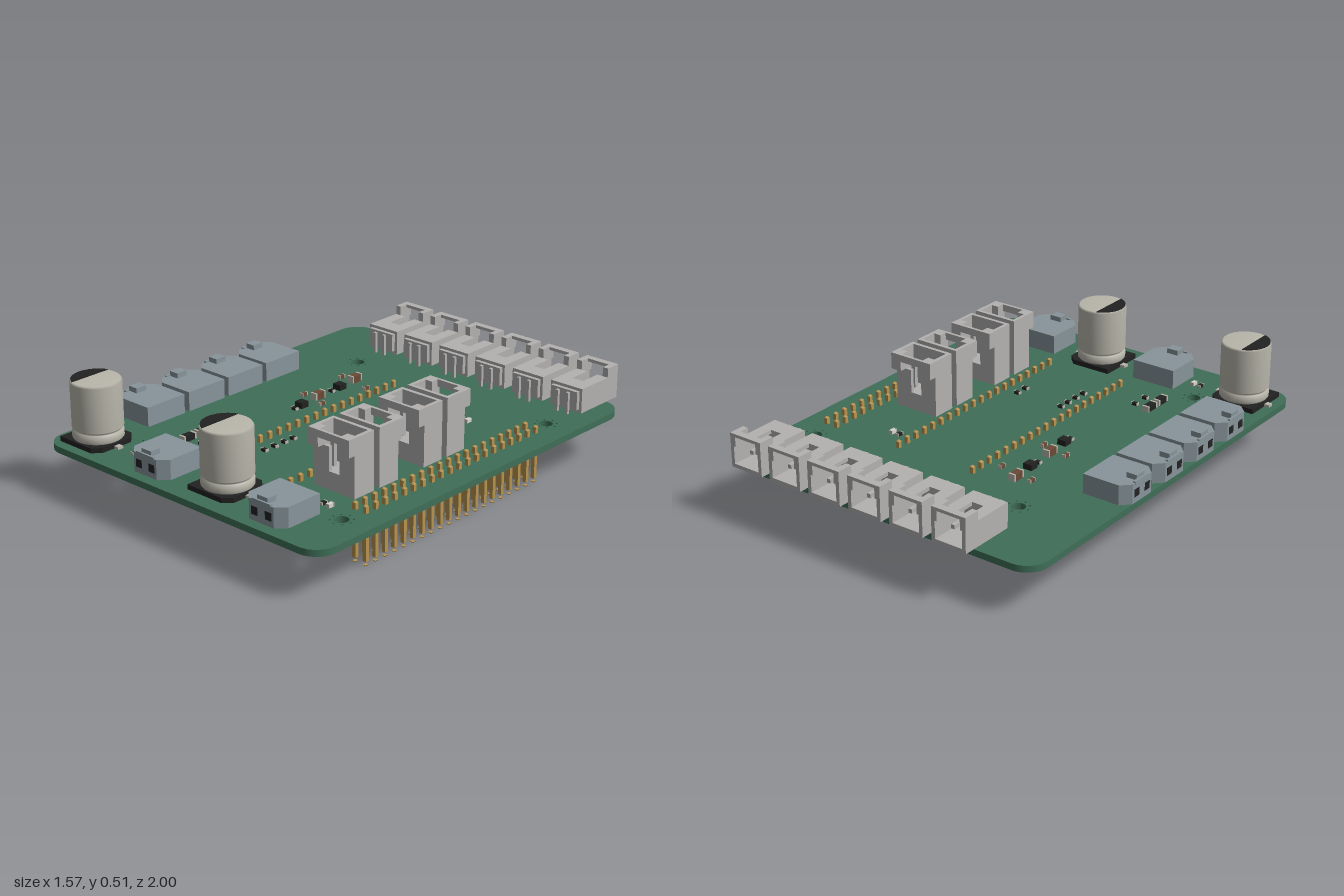
import * as THREE from 'three';

const mat = (c) => new THREE.MeshStandardMaterial({ color: c });
const M = {
  board: mat(0x3f6f58), plastic: mat(0xb4b2b1), terminal: mat(0x87959b), black: mat(0x222222),
  gold: mat(0xb8934f), metal: mat(0xb9b7ab), brown: mat(0x6b4a36), pale: mat(0xd8d6cc),
};
const TOP = 0.226, BOTTOM = 0.197;

function add(parent, name, geo, m, x = 0, y = 0, z = 0) {
  const mesh = new THREE.Mesh(geo, m);
  mesh.name = name;
  mesh.position.set(x, y, z);
  parent.add(mesh);
  return mesh;
}
// box given by its min and max on each axis
function box(parent, name, m, x0, x1, y0, y1, z0, z1) {
  return add(parent, name, new THREE.BoxGeometry(x1 - x0, y1 - y0, z1 - z0), m,
    (x0 + x1) / 2, (y0 + y1) / 2, (z0 + z1) / 2);
}
function group(parent, name, x, y, z) {
  const g = new THREE.Group();
  g.name = name;
  g.position.set(x, y, z);
  parent.add(g);
  return g;
}
// upright prism from a footprint of [x, z] points, rising from y = 0
function prism(pts, h) {
  const s = new THREE.Shape(pts.map(([x, z]) => new THREE.Vector2(x, -z)));
  return new THREE.ExtrudeGeometry(s, { depth: h, bevelEnabled: false }).rotateX(-Math.PI / 2);
}

// rounded board with drilled mounting holes
function board(root) {
  const x = 0.785, z0 = -0.94, z1 = 1, r = 0.1;
  const s = new THREE.Shape();
  s.moveTo(-x + r, z0);
  s.absarc(x - r, z0 + r, r, -Math.PI / 2, 0);
  s.absarc(x - r, z1 - r, r, 0, Math.PI / 2);
  s.absarc(-x + r, z1 - r, r, Math.PI / 2, Math.PI);
  s.absarc(-x + r, z0 + r, r, Math.PI, Math.PI * 1.5);
  const drill = (cx, cz, rad) => s.holes.push(new THREE.Path().absarc(cx, cz, rad, 0, Math.PI * 2, true));
  for (const cx of [-0.435, 0.645]) for (const cz of [-0.563, 0.72]) {
    drill(cx, cz, 0.031);
    for (let i = 0; i < 8; i++) {
      const a = i * Math.PI / 4;
      drill(cx + 0.046 * Math.cos(a), cz + 0.046 * Math.sin(a), 0.005);
    }
  }
  const geo = new THREE.ExtrudeGeometry(s, { depth: TOP - BOTTOM, bevelEnabled: false, curveSegments: 10 });
  add(root, 'board', geo.rotateX(Math.PI / 2), M.board, 0, TOP, 0);
}

// strip of 20 pins per row, hanging below the board
function pinHeader(root, rows, zStart) {
  const g = group(root, 'pinHeader', 0, 0, 0), pitch = 0.0561;
  box(g, 'headerBody', M.black, rows[0] - 0.027, rows[rows.length - 1] + 0.027, 0.138, BOTTOM,
    zStart - 0.03, zStart + 19 * pitch + 0.03);
  for (const x of rows) for (let i = 0; i < 20; i++) {
    const z = zStart + i * pitch;
    add(g, 'headerPin', new THREE.BoxGeometry(0.017, 0.235, 0.017), M.gold, x, 0.1375, z);
    for (const [y, dir] of [[0.2575, 1], [0.0025, -1]]) {
      const tip = new THREE.CylinderGeometry(0.007, 0.012, 0.005, 4).rotateY(Math.PI / 4);
      if (dir < 0) tip.rotateX(Math.PI);
      add(g, 'pinTip', tip, M.gold, x, y, z);
    }
  }
}

// shrouded connector: mouth towards +y, latch lip towards +z
function shroud(parent, name, halfWidth, pins, lip) {
  const g = group(parent, name, 0, 0, 0);
  const w = halfWidth, d = 0.056, t = 0.017, h = 0.26, base = 0.08, arch = 0.056, lipY = h - 0.075;
  box(g, 'shroudBase', M.plastic, -w, w, 0, base, -d, d);
  box(g, 'shroudBack', M.plastic, -w, w, base, h, -d, -d + t);
  for (const s of [-1, 1]) {
    const span = (a, b) => (s > 0 ? [a, b] : [-b, -a]);
    box(g, 'shroudSide', M.plastic, ...span(w - t, w), base, h, -d + t, d - t);
    box(g, 'shroudFront', M.plastic, ...span(0.028, w), base, lipY, d - t, d);
    box(g, 'shroudFrontUpper', M.plastic, ...span(arch, w), lipY, h, d - t, d);
    box(g, 'latchSide', M.plastic, ...span(arch, w), lipY, h, d, d + lip);
  }
  box(g, 'latchBridge', M.plastic, -arch, arch, h - 0.032, h, d + lip - 0.014, d + lip);
  for (let i = 0; i < pins; i++) {
    const x = (i - (pins - 1) / 2) * 0.054;
    box(g, 'contactPin', M.plastic, x - 0.009, x + 0.009, base, 0.2, -0.009, 0.009);
  }
  return g;
}
function tails(g, xs, y0, y1, z) {
  for (const x of xs) box(g, 'solderTail', M.plastic, x - 0.007, x + 0.007, y0, y1, z - 0.007, z + 0.007);
}

// two-way power terminal, mouth towards +z
function terminal(root, x, z, turn) {
  const g = group(root, 'powerTerminal', x, TOP, z);
  g.rotation.y = turn;
  const w = 0.106, c = 0.04;
  add(g, 'terminalBody', prism([[-w, -w], [w, -w], [w, w - c], [w - c, w], [-w + c, w], [-w, w - c]], 0.088), M.terminal);
  box(g, 'terminalLatch', M.terminal, -0.028, 0.028, 0.088, 0.111, 0.05, 0.098);
  box(g, 'latchRamp', M.terminal, -0.05, 0.05, 0.08, 0.094, 0.095, 0.107);
  for (const s of [-1, 1]) {
    box(g, 'socket', M.black, s * 0.037 - 0.017, s * 0.037 + 0.017, 0.025, 0.06, 0.09, 0.107);
    const peg = new THREE.LatheGeometry([[0.001, -0.081], [0.01, -0.074], [0.021, -0.052], [0.014, -0.04], [0.014, 0]]
      .map((p) => new THREE.Vector2(...p)), 12);
    add(g, 'lockingPeg', peg, M.terminal, s * 0.023, 0, 0.014);
  }
  tails(g, [-0.037, 0.037], -0.075, 0, -0.08);
}

// round can capacitor on a square base
function canCapacitor(root, x, z) {
  const g = group(root, 'canCapacitor', x, TOP, z), w = 0.113, c = 0.035;
  add(g, 'capacitorBase', prism([[-w, -w], [w - c, -w], [w, -w + c], [w, w - c], [w - c, w], [-w, w]], 0.022), M.black);
  const profile = [[0, 0.02], [0.103, 0.02], [0.109, 0.028], [0.109, 0.052], [0.1, 0.06], [0.1, 0.066],
    [0.109, 0.074], [0.109, 0.27], [0.103, 0.279], [0, 0.279]];
  const geo = new THREE.LatheGeometry(profile.map((p) => new THREE.Vector2(...p)), 40);
  add(g, 'capacitorCan', geo, M.metal);
  const a = Math.acos(0.035 / 0.104);
  const mark = new THREE.Shape().absarc(0, 0, 0.104, Math.PI - a, Math.PI + a);
  const markGeo = new THREE.ExtrudeGeometry(mark, { depth: 0.003, bevelEnabled: false, curveSegments: 20 });
  add(g, 'polarityMark', markGeo.rotateX(-Math.PI / 2), M.black, 0, 0.278, 0);
  box(g, 'capacitorTabs', M.metal, -0.137, 0.137, 0, 0.012, -0.014, 0.014);
}

// small surface part with pale end caps along its long side
function chip(root, name, m, x, z, w, d, h) {
  const g = group(root, name, x, TOP, z), alongX = w > d;
  box(g, 'chipBody', m, -w / 2, w / 2, 0, h, -d / 2, d / 2);
  for (const s of [-1, 1]) {
    const cw = alongX ? w * 0.15 : w * 1.02, cd = alongX ? d * 1.02 : d * 0.15;
    add(g, 'chipEnd', new THREE.BoxGeometry(cw, h, cd), M.metal,
      alongX ? s * w * 0.46 : 0, h / 2 + 0.001, alongX ? 0 : s * d * 0.46);
  }
}

export function createModel() {
  const root = new THREE.Group();
  root.name = 'circuitBoard';
  board(root);

  pinHeader(root, [-0.11], -0.442);
  pinHeader(root, [0.282], -0.442);
  pinHeader(root, [0.62, 0.675], -0.452);

  // side-entry connectors along the back edge
  for (let i = 0; i < 6; i++) {
    const g = group(root, 'sideConnector', -0.434 + i * 0.2106, 0, 0);
    const s = shroud(g, 'sideShroud', 0.083, 2, 0.042);
    s.rotation.x = -Math.PI / 2;
    s.position.set(0, 0.29, -0.74);
    box(g, 'rearStep', M.plastic, -0.07, 0.07, 0.25, 0.333, -0.74, -0.722);
    box(g, 'mountFoot', M.plastic, -0.07, 0.07, TOP, 0.236, -0.9, -0.76);
    tails(g, [-0.027, 0.027], 0.162, 0.325, -0.713);
  }

  // upright three-pin connectors in facing pairs
  for (const [z, turned] of [[-0.062, true], [0.082, false], [0.352, true], [0.497, false]]) {
    const s = shroud(root, 'uprightConnector', 0.108, 3, 0.034);
    s.position.set(0.453, TOP, z);
    if (turned) s.rotation.y = Math.PI;
    tails(s, [-0.054, 0, 0.054], -0.072, 0, 0);
  }

  for (const z of [-0.211, 0.025, 0.262, 0.501]) terminal(root, -0.678, z, -Math.PI / 2);
  for (const x of [-0.208, 0.445]) terminal(root, x, 0.846, 0);

  canCapacitor(root, -0.619, 0.842);
  canCapacitor(root, 0.124, 0.815);

  // small surface parts
  for (const [x, z] of [[-0.283, -0.376], [-0.264, -0.116]]) chip(root, 'ceramicCapacitor', M.brown, x, z, 0.032, 0.058, 0.032);
  for (const [x, z] of [[-0.351, -0.363], [-0.177, -0.333], [-0.33, -0.095], [-0.198, -0.069]])
    chip(root, 'smallCapacitor', M.brown, x, z, 0.016, 0.03, 0.016);
  for (const [x, z] of [[-0.272, -0.264], [-0.251, 0.002]]) box(root, 'regulator', M.black, x - 0.021, x + 0.021, TOP, TOP + 0.026, z - 0.021, z + 0.021);
  for (const z of [0.503, 0.587]) chip(root, 'diode', M.black, -0.349, z, 0.032, 0.066, 0.026);
  for (const [x, z] of [[-0.272, -0.212], [-0.249, 0.048], [-0.029, 0.286], [-0.029, 0.339], [-0.029, 0.397],
    [-0.029, 0.455], [0.209, 0.286], [0.209, 0.344], [-0.272, 0.503], [-0.272, 0.582]])
    chip(root, 'resistor', M.black, x, z, 0.03, 0.017, 0.012);
  for (const [x, z] of [[0.355, -0.352], [0.5, 0.667], [-0.4, 0.836]]) {
    chip(root, 'lampResistor', M.black, x, z, 0.018, 0.03, 0.012);
    chip(root, 'indicatorLamp', M.pale, x + 0.036, z, 0.018, 0.03, 0.016);
  }
  return root;
}
